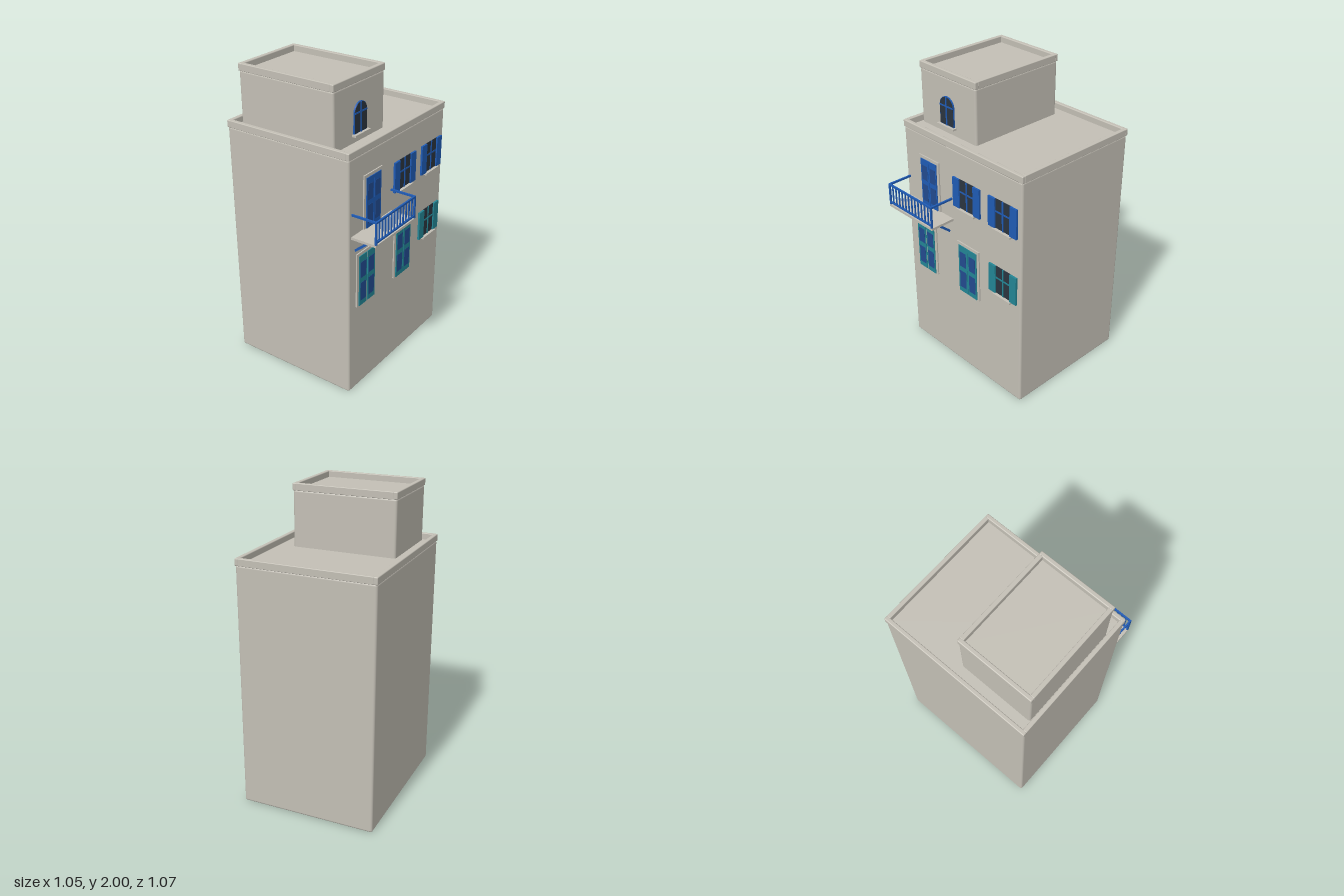
import * as THREE from 'three';
import { RoundedBoxGeometry } from 'three/addons/geometries/RoundedBoxGeometry.js';

function material(name, color) {
  const m = new THREE.MeshStandardMaterial({ color });
  m.name = name;
  return m;
}

export function createModel() {
  const stone = material('stone', 0xc3bfb5);
  const blue = material('bluePaint', 0x1f5bb5);
  const teal = material('tealPaint', 0x238594);
  const navy = material('panelBlue', 0x224b8f);
  const glass = material('darkGlass', 0x2b343f);

  const house = new THREE.Group();
  house.name = 'townHouse';
  const group = (name) => {
    const g = new THREE.Group();
    g.name = name;
    house.add(g);
    return g;
  };

  // Box given by its limits on each axis, with optional rounded edges
  function box(parent, name, mat, [x0, x1], [y0, y1], [z0, z1], radius = 0) {
    const s = [x1 - x0, y1 - y0, z1 - z0];
    const geo = radius ? new RoundedBoxGeometry(...s, 3, radius) : new THREE.BoxGeometry(...s);
    const mesh = new THREE.Mesh(geo, mat);
    mesh.name = name;
    mesh.position.set((x0 + x1) / 2, (y0 + y1) / 2, (z0 + z1) / 2);
    parent.add(mesh);
    return mesh;
  }

  // Walls with a raised parapet around a flat roof
  function block(name, [x0, x1], [y0, y1], [z0, z1]) {
    const g = group(name);
    const roof = y1 - 0.04, t = 0.027, o = 0.003;
    box(g, 'walls', stone, [x0, x1], [y0, roof], [z0, z1], 0.015);
    const y = [y1 - 0.046, y1];
    const xs = [x0 - o, x1 + o];
    box(g, 'backParapet', stone, xs, y, [z0 - o, z0 - o + t], 0.006);
    box(g, 'frontParapet', stone, xs, y, [z1 + o - t, z1 + o], 0.006);
    const zs = [z0 - o + t - 0.004, z1 + o - t + 0.004];
    box(g, 'rightParapet', stone, [x0 - o, x0 - o + t], y, zs, 0.004);
    box(g, 'leftParapet', stone, [x1 + o - t, x1 + o], y, zs, 0.004);
  }
  block('mainBuilding', [-0.523, 0.523], [0, 1.64], [-0.532, 0.362]);
  block('roofRoom', [-0.492, 0.01], [1.585, 2], [-0.443, 0.238]);

  const wall = 0.362;

  // Window with open shutters, crossed bars and a sill
  function shutterWindow(cx, y0, y1, paint) {
    const g = group('shutterWindow');
    const half = 0.062, w = 0.119, mid = y0 + (y1 - y0) * 0.58;
    box(g, 'pane', glass, [cx - half, cx + half], [y0, y1], [wall - 0.002, wall + 0.004]);
    box(g, 'uprightBar', paint, [cx - 0.005, cx + 0.005], [y0, y1], [wall, wall + 0.008]);
    box(g, 'crossBar', paint, [cx - half, cx + half], [mid - 0.005, mid + 0.005], [wall, wall + 0.007]);
    for (const s of [-1, 1]) {
      const x = [cx + s * half, cx + s * w].sort((a, b) => a - b);
      box(g, 'shutter', paint, x, [y0, y1], [wall, wall + 0.013]);
    }
    box(g, 'sill', stone, [cx - 0.076, cx + 0.076], [y0 - 0.012, y0], [wall - 0.002, 0.386]);
  }
  shutterWindow(0.058, 1.222, 1.42, blue);
  shutterWindow(0.371, 1.222, 1.42, blue);
  shutterWindow(0.371, 0.755, 0.952, teal);

  // Double door with two inset panels per leaf and a stone surround
  function doubleDoor(cx, y0, y1, width, gap, paint) {
    const g = group('doubleDoor');
    const h = y1 - y0, half = width / 2;
    box(g, 'surround', stone, [cx - half - 0.02, cx + half + 0.02], [y0, y1 + 0.02], [wall - 0.002, wall + 0.008]);
    for (const s of [-1, 1]) {
      const span = (a, b) => [cx + s * a, cx + s * b].sort((p, q) => p - q);
      box(g, 'leaf', paint, span(gap / 2, half), [y0, y1], [wall, wall + 0.013]);
      for (const [a, b] of [[0.1, 0.46], [0.56, 0.87]])
        box(g, 'panel', navy, span(half * 0.17, half * 0.86), [y0 + h * a, y0 + h * b], [wall + 0.01, wall + 0.0145]);
    }
  }
  doubleDoor(-0.349, 0.607, 0.953, 0.164, 0.01, teal);
  doubleDoor(0.058, 0.607, 0.953, 0.164, 0.003, teal);
  doubleDoor(-0.287, 1.11, 1.436, 0.148, 0.003, blue);

  // Arched window on the roof room
  const arched = group('archedWindow');
  function arch(name, mat, r, bottom, z, depth) {
    const s = new THREE.Shape();
    s.moveTo(-r, bottom);
    s.lineTo(r, bottom);
    s.lineTo(r, 1.778);
    s.absarc(0, 1.778, r, 0, Math.PI, false);
    s.closePath();
    const geo = new THREE.ExtrudeGeometry(s, { depth, bevelEnabled: false, curveSegments: 16 });
    const mesh = new THREE.Mesh(geo, mat);
    mesh.name = name;
    mesh.position.set(-0.243, 0, z);
    arched.add(mesh);
  }
  arch('frame', blue, 0.062, 1.655, 0.236, 0.011);
  arch('pane', glass, 0.059, 1.658, 0.24, 0.009);
  box(arched, 'uprightBar', blue, [-0.248, -0.238], [1.656, 1.838], [0.243, 0.252]);
  box(arched, 'crossBar', blue, [-0.303, -0.183], [1.774, 1.784], [0.243, 0.251]);
  box(arched, 'sill', stone, [-0.318, -0.168], [1.643, 1.655], [0.236, 0.266]);

  // Balcony slab, railing and slanted braces
  const balcony = group('balcony');
  const [bx0, bx1, front, t] = [-0.498, -0.078, 0.535, 0.011];
  box(balcony, 'slab', stone, [bx0, bx1], [1.096, 1.112], [wall - 0.004, front]);
  box(balcony, 'topRail', blue, [bx0, bx1], [1.248, 1.26], [front - t, front]);
  box(balcony, 'bottomRail', blue, [bx0, bx1], [1.122, 1.132], [front - t, front]);
  for (const x of [bx0, bx1 - t]) {
    box(balcony, 'cornerPost', blue, [x, x + t], [1.112, 1.26], [front - t, front]);
    box(balcony, 'sideRail', blue, [x, x + t], [1.248, 1.26], [wall - 0.002, front]);
  }
  const count = 13;
  for (let i = 1; i < count; i++) {
    const x = bx0 + t / 2 + (bx1 - bx0 - t) * i / count;
    box(balcony, 'baluster', blue, [x - 0.004, x + 0.004], [1.125, 1.25], [front - 0.009, front - 0.002]);
  }
  for (const x of [-0.455, -0.121]) {
    const brace = box(balcony, 'brace', blue, [x - 0.008, x + 0.008], [1.046, 1.06], [0.346, 0.49]);
    brace.rotation.x = -Math.atan2(0.092, 0.108);
  }

  return house;
}
